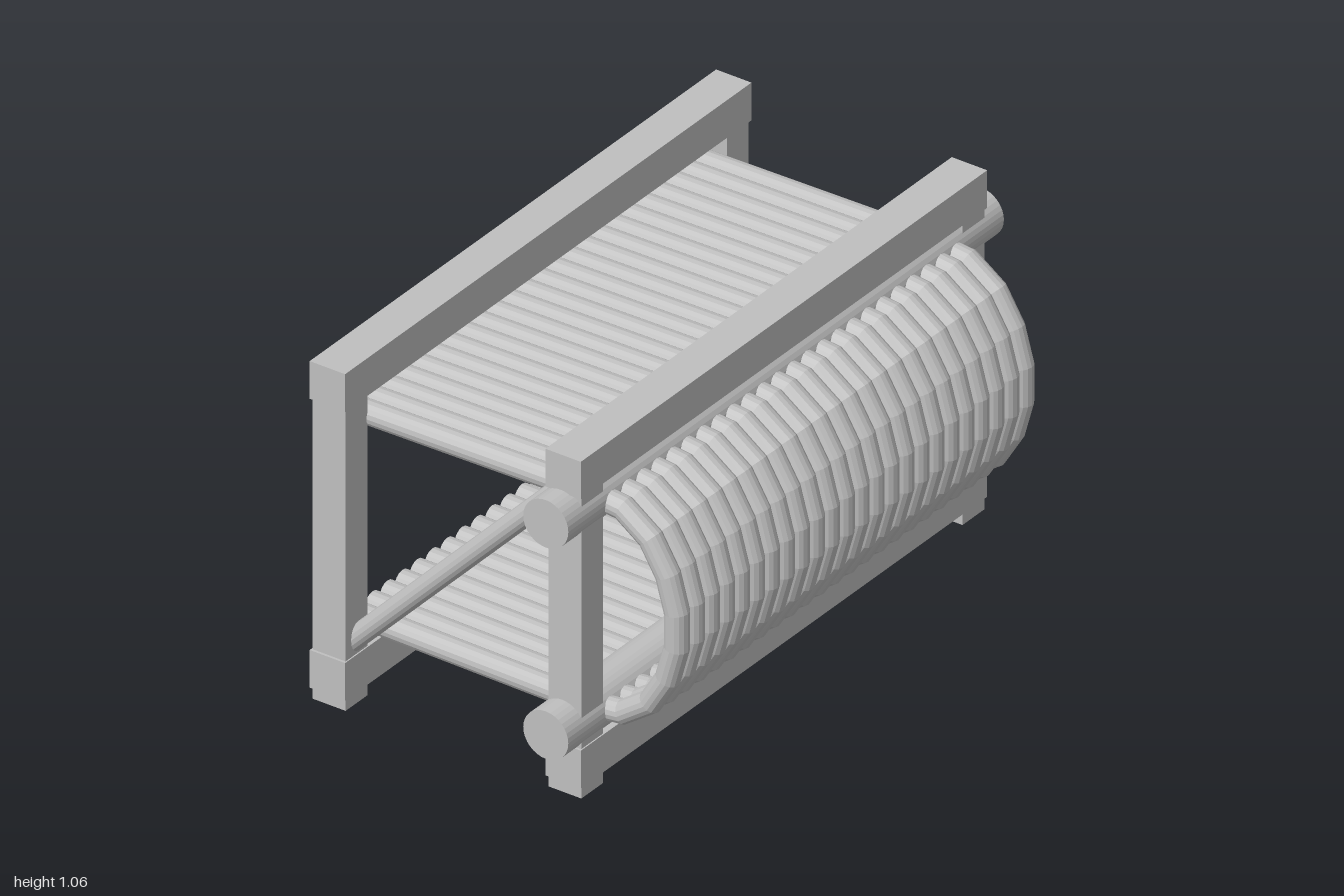
import * as THREE from 'three';

const grey = new THREE.MeshStandardMaterial({ color: 0xbfbfbf, flatShading: true });
grey.name = 'plain grey';

function add(parent, name, geometry, x = 0, y = 0, z = 0) {
  const mesh = new THREE.Mesh(geometry, grey);
  mesh.name = name;
  mesh.position.set(x, y, z);
  parent.add(mesh);
  return mesh;
}

// Round bar between two [y, z] points in the plane of the given x
function bar(parent, name, x, [y1, z1], [y2, z2], radius, sides = 16) {
  const a = new THREE.Vector3(x, y1, z1);
  const b = new THREE.Vector3(x, y2, z2);
  const dir = b.clone().sub(a);
  const mesh = add(parent, name, new THREE.CylinderGeometry(radius, radius, dir.length(), sides));
  mesh.position.copy(a).lerp(b, 0.5);
  mesh.quaternion.setFromUnitVectors(new THREE.Vector3(0, 1, 0), dir.normalize());
  return mesh;
}

export function createModel() {
  const model = new THREE.Group();
  model.name = 'tubeRack';

  // Front and back rectangular frames
  for (const [label, z] of [['front', 0.265], ['back', -0.514]]) {
    const frame = new THREE.Group();
    frame.name = label + 'Frame';
    model.add(frame);
    for (const side of [-1, 1]) {
      add(frame, 'post', new THREE.BoxGeometry(0.1, 1.0, 0.109), side * 0.875, 0.5, z);
    }
    for (const y of [0.096, 1.001]) {
      add(frame, 'crossBeam', new THREE.BoxGeometry(1.866, 0.118, 0.117), 0, y, z);
    }
  }

  // Round header pipes through the front frame
  for (const y of [0.213, 0.875]) {
    const pipe = add(model, 'headerPipe', new THREE.CylinderGeometry(0.0745, 0.0745, 2, 32), 0, y, 0.256);
    pipe.rotation.z = Math.PI / 2;
  }

  // Diagonal braces at both ends
  for (const side of [-1, 1]) {
    bar(model, 'diagonalBrace', side * 0.868, [0.945, 0.25], [0.155, -0.51], 0.032);
  }

  // Row of U-shaped tubes: front bend with two straight legs each
  const half = [[0.875, 0.256], [0.863, 0.366], [0.803, 0.452], [0.71, 0.51], [0.602, 0.541]];
  const path = [...half, ...half.map(([y, z]) => [1.088 - y, z]).reverse()];
  const curve = new THREE.CatmullRomCurve3(path.map(([y, z]) => new THREE.Vector3(0, y, z)));
  const bend = new THREE.TubeGeometry(curve, 9, 0.036, 16);
  const count = 24;
  for (let i = 0; i < count; i++) {
    const tube = new THREE.Group();
    tube.name = 'tube';
    model.add(tube);
    const x = -0.794 + i * 0.0687;
    add(tube, 'bend', bend, x);
    bar(tube, 'upperLeg', x, [0.876, 0.256], [0.866, -0.515], 0.036);
    bar(tube, 'lowerLeg', x, [0.212, 0.256], [0.222, -0.515], 0.036);
  }

  return model;
}
